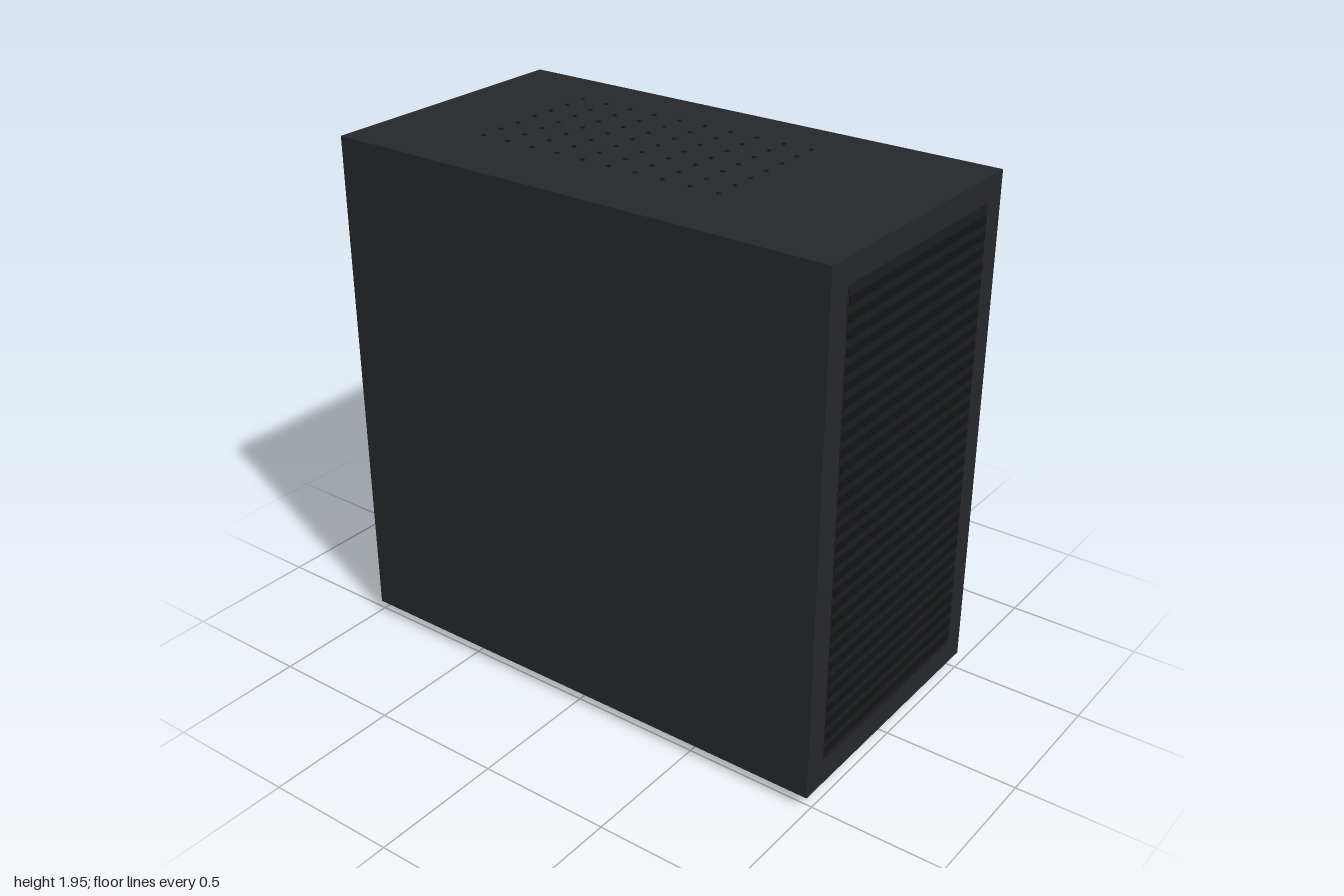
import * as THREE from 'three';
import { RoundedBoxGeometry } from 'three/addons/geometries/RoundedBoxGeometry.js';

const paint = (color) => new THREE.MeshStandardMaterial({ color });

export function createModel() {
  const model = new THREE.Group();
  const shell = paint(0x26272b), dark = paint(0x1c1d1f), black = paint(0x131415);
  const glass = paint(0x8e9dac);

  // Box given by its limits on each axis
  const box = (name, [x0, x1], [y0, y1], [z0, z1], material, parent = model) => {
    const mesh = new THREE.Mesh(new THREE.BoxGeometry(x1 - x0, y1 - y0, z1 - z0), material);
    mesh.position.set((x0 + x1) / 2, (y0 + y1) / 2, (z0 + z1) / 2);
    mesh.name = name;
    parent.add(mesh);
  };

  // Case shell: front, back, top, bottom and the solid side
  const W = 0.525, front = 0.994, back = -0.988;
  box('frontPanel', [-W, W], [0.05, 1.95], [0.935, front], shell);
  box('backPanel', [-W, W], [0.05, 1.95], [back, -0.975], shell);
  box('topPanel', [-W, W], [1.935, 1.95], [-0.975, 0.935], shell);
  box('bottomPanel', [-W, W], [0.05, 0.07], [-0.975, 0.935], shell);
  box('solidSidePanel', [-W, -W + 0.015], [0.07, 1.935], [-0.975, 0.935], shell);

  // Glass side, set just inside the frame
  box('glassSidePanel', [0.505, 0.521], [0.07, 1.935], [-0.975, 0.935], glass);

  // Front grille: a backing plate with raised slats
  const grille = new THREE.Group();
  grille.name = 'frontGrille';
  model.add(grille);
  box('grillePlate', [-0.43, 0.43], [0.15, 1.86], [front - 0.01, front + 0.002], dark, grille);
  for (let i = 0; i < 30; i++) {
    const y = 0.19 + i * 0.0558;
    box('grilleSlat', [-0.425, 0.425], [y - 0.014, y + 0.014], [front, 1], black, grille);
  }

  // Top vent: grid of small round holes, shown as dark discs
  const vent = new THREE.Group();
  vent.name = 'topVent';
  model.add(vent);
  const disc = new THREE.CylinderGeometry(0.008, 0.008, 0.008, 10);
  for (let i = 0; i < 7; i++) {
    for (let j = 0; j < 10; j++) {
      const hole = new THREE.Mesh(disc, black);
      hole.position.set(-0.225 + i * 0.09, 1.949, -0.6 + j * 0.11);
      hole.name = 'ventHole';
      vent.add(hole);
    }
  }

  // Rear plates: narrow connector strip with the square plate over it
  box('connectorStrip', [-0.49, -0.27], [1.01, 1.795], [-0.995, back + 0.005], black);
  box('rearPlate', [-0.4, 0.18], [1.15, 1.73], [-1, back + 0.005], dark);

  // Four rounded feet
  const footGeometry = new RoundedBoxGeometry(0.145, 0.056, 0.145, 3, 0.016);
  for (const x of [-0.405, 0.405]) {
    for (const z of [-0.85, 0.85]) {
      const foot = new THREE.Mesh(footGeometry, black);
      foot.position.set(x, 0.028, z);
      foot.name = 'foot';
      model.add(foot);
    }
  }
  return model;
}
